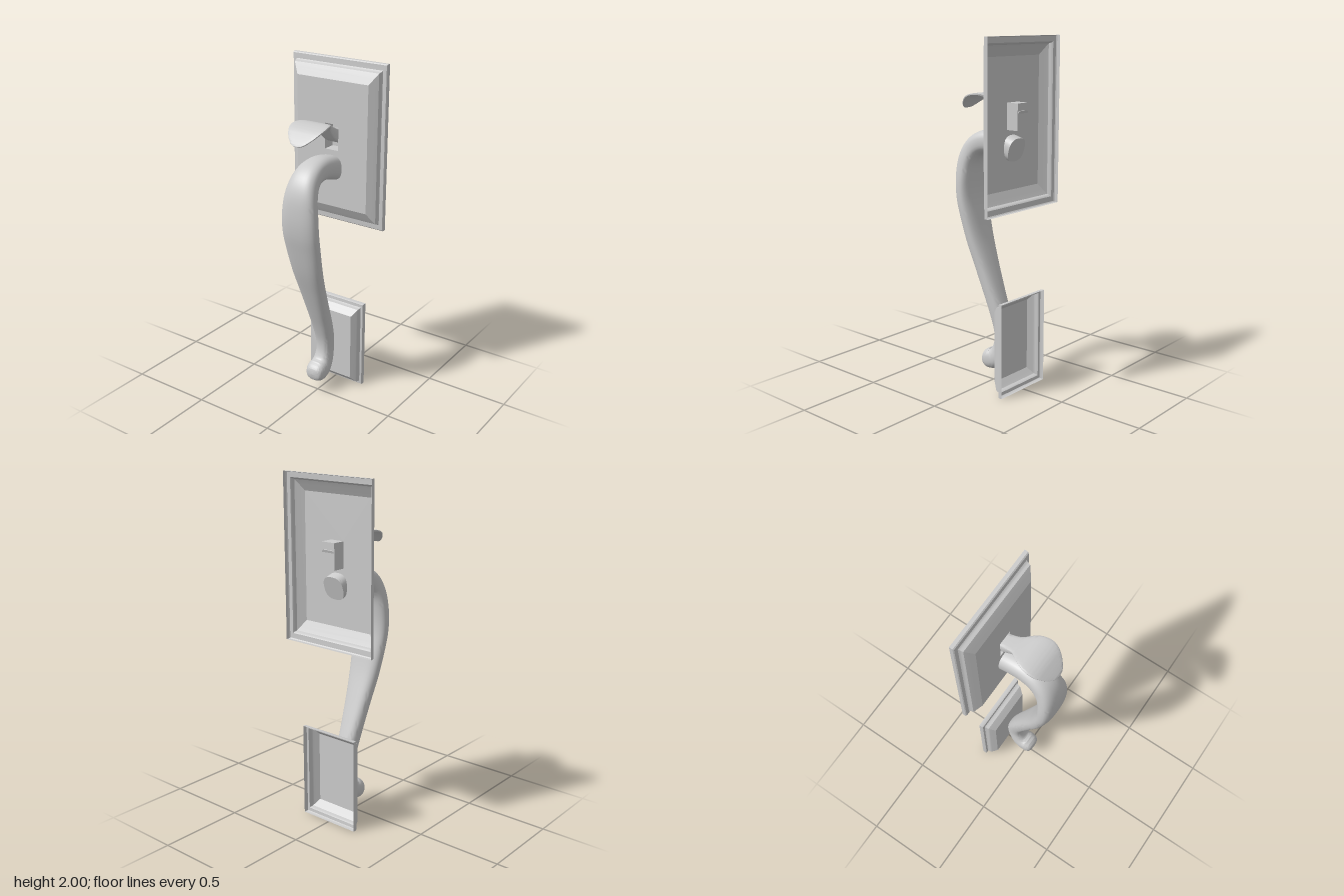
import * as THREE from 'three';
import { toCreasedNormals } from 'three/addons/utils/BufferGeometryUtils.js';

const metal = new THREE.MeshStandardMaterial({ color: 0xcccccc });
const shellMetal = new THREE.MeshStandardMaterial({ color: 0xcccccc, side: THREE.DoubleSide });

function add(parent, name, geometry, material = metal) {
  const mesh = new THREE.Mesh(geometry, material);
  mesh.name = name;
  parent.add(mesh);
  return mesh;
}

// Joins rings of equal length into a skin
function skin(rings, crease) {
  const n = rings[0].length, index = [];
  for (let i = 0; i < rings.length - 1; i++) {
    for (let j = 0; j < n; j++) {
      const a = i * n + j, b = i * n + (j + 1) % n;
      index.push(a, b, a + n, b, b + n, a + n);
    }
  }
  const geometry = new THREE.BufferGeometry();
  geometry.setAttribute('position', new THREE.Float32BufferAttribute(rings.flat(2), 3));
  geometry.setIndex(index);
  return toCreasedNormals(geometry, crease);
}

// Sweeps a rounded section along stations of [z, y, halfWidth, halfThickness]
function sweep(stations, power, steps, crease) {
  const path = new THREE.CatmullRomCurve3(stations.map(([z, y]) => new THREE.Vector3(0, y, z)), false, 'catmullrom');
  const size = new THREE.CatmullRomCurve3(stations.map(([, , w, t]) => new THREE.Vector3(w, t, 0)), false, 'catmullrom');
  const soft = (v) => Math.sign(v) * Math.pow(Math.abs(v), 2 / power);
  const ring = (u, scale) => {
    const p = path.getPoint(u), s = size.getPoint(u), d = path.getTangent(u);
    return Array.from({ length: 32 }, (_, j) => {
      const a = (j / 32) * Math.PI * 2;
      const x = soft(Math.cos(a)) * Math.max(s.x, 0) * scale;
      const h = soft(Math.sin(a)) * Math.max(s.y, 0) * scale;
      return [x, p.y + h * d.z, p.z - h * d.y];
    });
  };
  const rings = [ring(0, 0)];
  for (let i = 0; i <= steps; i++) rings.push(ring(i / steps, 1));
  return skin(rings, crease);
}

// Moulded edge: [inset fraction, z] from the back rim to the flat face
const MOULDING = [
  [0, -0.222], [0, -0.202], [0.05, -0.196], [0.32, -0.193], [0.38, -0.186], [0.4, -0.178],
  [0.43, -0.168], [0.52, -0.162], [0.7, -0.151], [1, -0.133],
];

// Hollow plate open at the back, with an optional opening in its face
function plate(name, halfW, bottom, top, insetX, insetY, opening) {
  const group = new THREE.Group();
  group.name = name;
  const rect = (f, z) => {
    const x = halfW - insetX * f, y0 = bottom + insetY * f, y1 = top - insetY * f;
    return [[-x, y0, z], [x, y0, z], [x, y1, z], [-x, y1, z]];
  };
  add(group, name + 'Moulding', skin(MOULDING.map(([f, z]) => rect(f, z)), 0.5), shellMetal);

  const toShape = (pts, Type) => new Type(pts.map(([x, y]) => new THREE.Vector2(x, y)));
  const face = toShape(rect(1, 0), THREE.Shape);
  if (opening) {
    const [w, y0, y1] = opening;
    face.holes.push(toShape([[-w, y0], [-w, y1], [w, y1], [w, y0]], THREE.Path));
  }
  add(group, name + 'Face', new THREE.ShapeGeometry(face), shellMetal).position.z = -0.133;
  return group;
}

export function createModel() {
  const model = new THREE.Group();
  model.name = 'doorHandleSet';

  // Backplates
  const slot = [0.044, 1.497, 1.645];
  model.add(plate('upperPlate', 0.307, 1.055, 2.0, 0.075, 0.108, slot));
  model.add(plate('lowerPlate', 0.19, 0.005, 0.555, 0.045, 0.065));

  // Pocket behind the latch opening, without its front wall
  const pocket = new THREE.BoxGeometry(slot[0] * 2, slot[2] - slot[1], 0.075);
  pocket.setIndex([...pocket.index.array].filter((_, i) => i < 24 || i >= 30));
  add(model, 'latchPocket', pocket, shellMetal).position.set(0, (slot[1] + slot[2]) / 2, -0.1705);

  // Thumb latch: thick neck thinning into a broad curved leaf
  add(model, 'thumbLatch', sweep([
    [-0.2, 1.565, 0.042, 0.04], [-0.14, 1.585, 0.043, 0.036], [-0.09, 1.618, 0.045, 0.026],
    [-0.05, 1.648, 0.052, 0.017], [-0.01, 1.672, 0.08, 0.01], [0.03, 1.684, 0.101, 0.007],
    [0.08, 1.68, 0.112, 0.006], [0.12, 1.664, 0.104, 0.006], [0.155, 1.638, 0.082, 0.005],
    [0.182, 1.613, 0.052, 0.005], [0.195, 1.6, 0.028, 0.004], [0.2, 1.595, 0, 0],
  ], 6, 66, 0.7));

  // Grip: arched root, long tapering S-curve and a rounded scroll end
  add(model, 'grip', sweep([
    [-0.165, 1.386, 0.068, 0.068], [-0.133, 1.395, 0.068, 0.069], [-0.07, 1.414, 0.069, 0.068],
    [0, 1.422, 0.071, 0.067], [0.07, 1.41, 0.077, 0.064], [0.125, 1.37, 0.086, 0.06],
    [0.158, 1.3, 0.099, 0.055], [0.168, 1.2, 0.111, 0.052], [0.163, 1.1, 0.114, 0.049],
    [0.143, 1.0, 0.11, 0.047], [0.103, 0.85, 0.097, 0.047], [0.05, 0.7, 0.081, 0.047],
    [-0.002, 0.56, 0.069, 0.048], [-0.046, 0.44, 0.06, 0.049], [-0.074, 0.34, 0.052, 0.05],
    [-0.078, 0.26, 0.048, 0.052], [-0.06, 0.195, 0.053, 0.055], [-0.03, 0.157, 0.059, 0.06],
    [0.005, 0.143, 0.061, 0.062], [0.035, 0.14, 0.056, 0.053], [0.054, 0.14, 0.04, 0.034],
    [0.062, 0.14, 0, 0],
  ], 2.6, 126, 0.9));

  return model;
}
